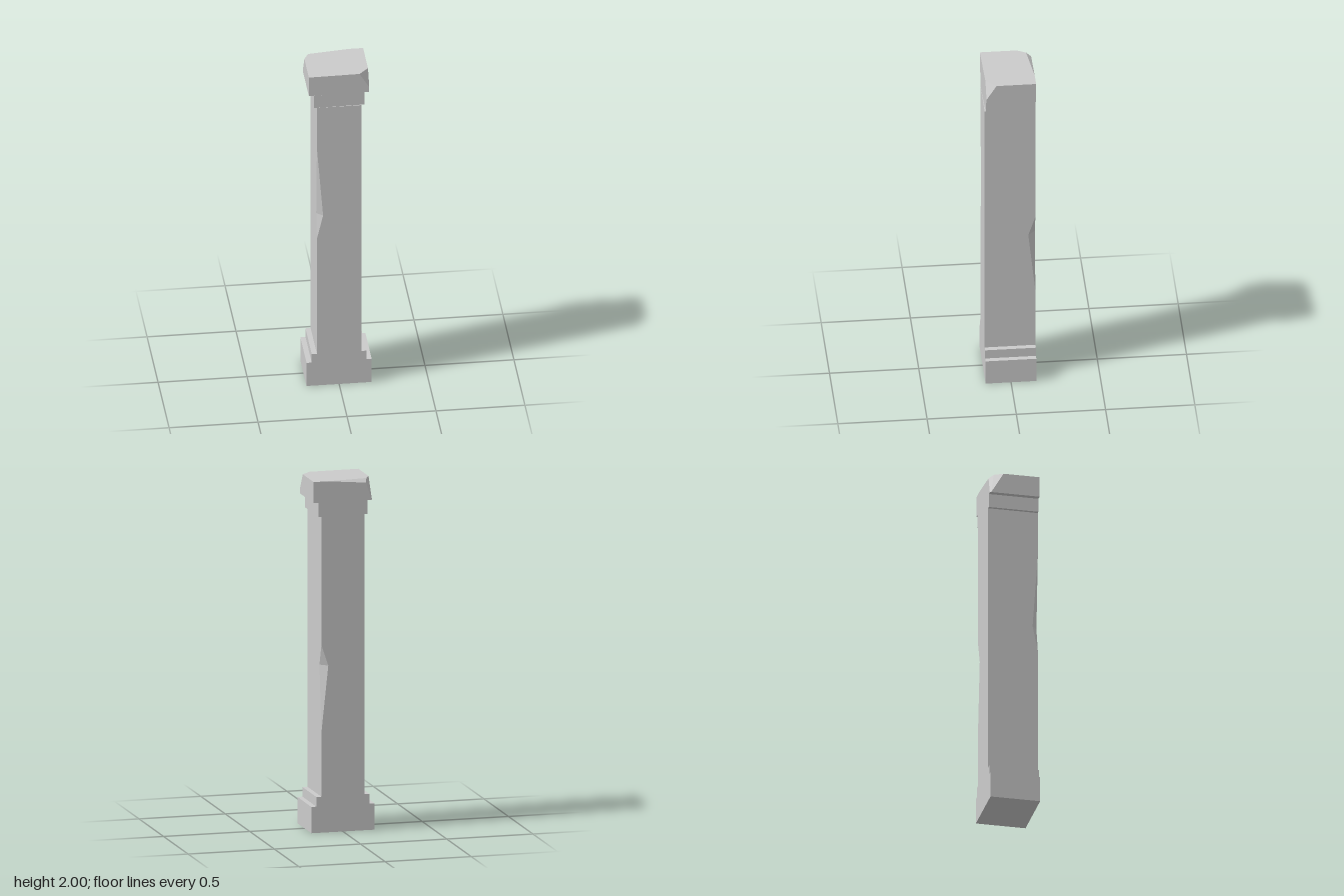
import * as THREE from 'three';
import { ConvexGeometry } from 'three/addons/geometries/ConvexGeometry.js';

const D = 0.142; // half depth of the pillar
const W = 0.125; // half width of the shaft
const material = new THREE.MeshStandardMaterial({ color: 0xcccccc, flatShading: true });

function addMesh(group, name, geometry) {
  const mesh = new THREE.Mesh(geometry, material);
  mesh.name = name;
  group.add(mesh);
}

function addBlock(group, name, halfWidth, y0, y1) {
  const geometry = new THREE.BoxGeometry(halfWidth * 2, y1 - y0, D * 2);
  geometry.translate(0, (y0 + y1) / 2, 0);
  addMesh(group, name, geometry);
}

function hull(points) {
  return new ConvexGeometry(points.map((p) => new THREE.Vector3(...p)));
}

// Depth of a chip: grows from 0 at the ends to 1 at the deepest level
function tent(y, low, mid, high) {
  return Math.max(0, Math.min((y - low) / (mid - low), (high - y) / (high - mid)));
}

// Shaft with one chip on each of two opposite vertical edges
function shaftGeometry() {
  const loops = [0.2, 0.57, 0.95, 1.07, 1.1, 1.54, 1.8].map((y) => {
    const back = tent(y, 0.57, 0.95, 1.07);
    const front = tent(y, 0.95, 1.1, 1.54);
    return [
      [W, D],
      [W, -D + 0.04 * back], [W - 0.04 * back, -D],
      [-W, -D],
      [-W, D - 0.03 * front], [-W + 0.035 * front, D],
    ].map(([x, z]) => new THREE.Vector3(x, y, z));
  });
  const positions = [];
  const addTriangle = (a, b, c) => {
    if (new THREE.Triangle(a, b, c).getArea() < 1e-8) return;
    for (const p of [a, b, c]) positions.push(p.x, p.y, p.z);
  };
  for (let k = 0; k < loops.length - 1; k++) {
    const lower = loops[k], upper = loops[k + 1];
    for (let i = 0; i < 6; i++) {
      const j = (i + 1) % 6;
      addTriangle(lower[i], lower[j], upper[j]);
      addTriangle(lower[i], upper[j], upper[i]);
    }
  }
  const top = loops[loops.length - 1];
  for (let i = 1; i < 5; i++) addTriangle(top[0], top[i], top[i + 1]);
  const geometry = new THREE.BufferGeometry();
  geometry.setAttribute('position', new THREE.Float32BufferAttribute(positions, 3));
  geometry.computeVertexNormals();
  return geometry;
}

export function createModel() {
  const pillar = new THREE.Group();
  pillar.name = 'pillar';

  // Stepped base
  addBlock(pillar, 'basePlinth', 0.183, 0, 0.15);
  addBlock(pillar, 'baseStep', 0.154, 0.15, 0.205);

  addMesh(pillar, 'shaft', shaftGeometry());

  // Capital neck, its front slightly skewed
  const neck = [];
  for (const y of [1.8, 1.88]) {
    neck.push([-0.142, y, D], [0.142, y, 0.136], [0.142, y, -D], [-0.142, y, -D]);
  }
  addMesh(pillar, 'capitalNeck', hull(neck));

  // Capital top with two broken corners and a worn back edge
  addMesh(pillar, 'capitalTop', hull([
    // underside
    [-0.17, 1.88, D], [0.17, 1.88, 0.136], [0.17, 1.88, -D],
    [-0.166, 1.88, -D], [-0.17, 1.88, -0.135],
    // intact top corners
    [-0.17, 2, D], [0.17, 2, -D],
    // front left chip
    [0.115, 2, 0.137], [0.17, 1.91, 0.136], [0.17, 2, 0.08],
    // back right chip and worn edge
    [-0.17, 2, -0.065], [-0.143, 2, -0.115], [-0.134, 1.98, -D], [0.09, 2, -D],
  ]));

  return pillar;
}
